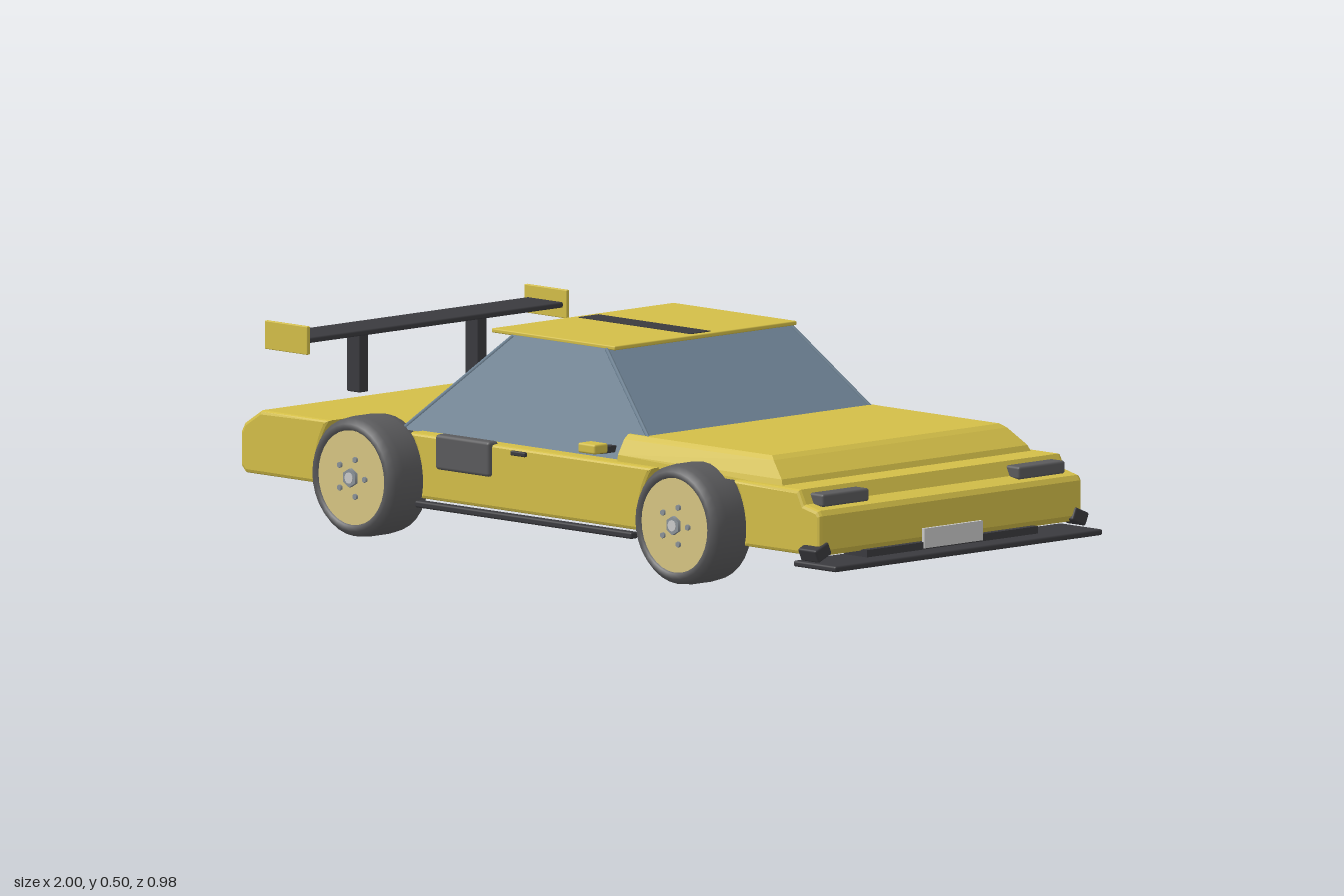
import * as THREE from 'three';
import { RoundedBoxGeometry } from 'three/addons/geometries/RoundedBoxGeometry.js';
import { ConvexGeometry } from 'three/addons/geometries/ConvexGeometry.js';

const paint = (name, color) => Object.assign(new THREE.MeshStandardMaterial({ color }), { name });
const V = (x, y, z) => new THREE.Vector3(x, y, z);

export function createModel() {
  const yellow = paint('body yellow', 0xd3be48);
  const rimGold = paint('rim pale gold', 0xd6c582);
  const glass = paint('window blue grey', 0x6f8496);
  const black = paint('trim black', 0x3a3a3e);
  const tyreGrey = paint('tyre grey', 0x5a5a5c);
  const red = paint('tail light red', 0xd08478);
  const silver = paint('plate silver', 0xcacaca);
  const steel = paint('hub steel', 0x8b9298);

  const car = new THREE.Group();
  car.name = 'car';
  const add = (name, geo, mat, parent = car) => {
    const m = new THREE.Mesh(geo, mat);
    m.name = name;
    parent.add(m);
    return m;
  };
  // Box given by its lower and upper corner
  const box = (name, mat, [x0, y0, z0], [x1, y1, z1], round = 0) => {
    const s = [x1 - x0, y1 - y0, z1 - z0];
    const m = add(name, round ? new RoundedBoxGeometry(...s, 2, round) : new THREE.BoxGeometry(...s), mat);
    m.position.set((x0 + x1) / 2, (y0 + y1) / 2, (z0 + z1) / 2);
    return m;
  };
  // Same box on both sides of the car
  const pair = (name, mat, [x0, y0, z0], [x1, y1, z1], round) => [
    box(name + 'Left', mat, [x0, y0, z0], [x1, y1, z1], round),
    box(name + 'Right', mat, [x0, y0, -z1], [x1, y1, -z0], round)];

  // Body: full-length core plus outer side pieces separated by open wheel arches
  const BOT = 0.105, TOP = 0.255, AXLE = 0.145, ARCH = 0.172;
  const WHEELS = { rear: -0.545, front: 0.52 };
  const nose = [[0.87, TOP], [0.887, 0.222], [0.932, 0.212], [0.94, 0.2], [0.94, 0.12], [0.925, BOT]];
  const tail = [[-0.955, BOT], [-0.97, 0.12], [-0.97, 0.2], [-0.958, 0.222], [-0.905, TOP]];
  const arch = (cx, side) => { // arch edge from top to bottom
    const a0 = Math.asin((TOP - AXLE) / ARCH), a1 = Math.asin((BOT - AXLE) / ARCH);
    return Array.from({ length: 9 }, (_, i) => {
      const a = a0 + (a1 - a0) * i / 8;
      return [cx + side * ARCH * Math.cos(a), AXLE + ARCH * Math.sin(a)];
    });
  };
  const slab = (pts, z0, z1, bevel) => {
    const shape = new THREE.Shape(pts.map(p => new THREE.Vector2(...p)));
    const g = new THREE.ExtrudeGeometry(shape, {
      depth: z1 - z0 - 2 * bevel, bevelEnabled: bevel > 0, bevelSize: bevel,
      bevelThickness: bevel, bevelOffset: -bevel, bevelSegments: 2 });
    return g.translate(0, 0, z0 + bevel);
  };
  add('bodyCore', slab([...tail, ...nose], -0.33, 0.33, 0), yellow);
  const up = pts => [...pts].reverse();
  const pieces = {
    rearQuarter: [...tail, ...arch(WHEELS.rear, -1)],
    door: [...up(arch(WHEELS.rear, 1)), ...arch(WHEELS.front, -1)],
    frontQuarter: [...up(arch(WHEELS.front, 1)), ...nose],
  };
  for (const [name, pts] of Object.entries(pieces)) {
    add(name + 'Left', slab(pts, 0.312, 0.422, 0.009), yellow);
    add(name + 'Right', slab(pts, -0.422, -0.312, 0.009), yellow);
  }

  // Raised hood, cabin glass and roof
  const hull = (name, mat, rings) => add(name, new ConvexGeometry(rings.flatMap(([x, y, z]) =>
    [V(x, y, z), V(x, y, -z)])), mat);
  hull('hood', yellow, [[0.25, 0.252, 0.4], [0.795, 0.252, 0.4], [0.25, 0.27, 0.398], [0.787, 0.268, 0.395],
    [0.25, 0.304, 0.378], [0.25, 0.315, 0.365], [0.725, 0.315, 0.365], [0.74, 0.306, 0.375]]);
  hull('cabinGlass', glass, [[-0.48, 0.252, 0.38], [0.375, 0.252, 0.38], [-0.2, 0.491, 0.295], [0.105, 0.491, 0.295]]);
  box('roof', yellow, [-0.275, 0.489, -0.293], [0.132, 0.499, 0.293], 0.003);
  box('roofStripe', black, [-0.255, 0.498, -0.032], [0.115, 0.5005, 0.032]);

  // Glass corner pillars
  for (const s of [1, -1]) for (const [a, b] of [[-0.48, -0.2], [0.375, 0.105]]) {
    const path = new THREE.LineCurve3(V(a, 0.252, 0.378 * s), V(b, 0.49, 0.293 * s));
    add('windowPillar', new THREE.TubeGeometry(path, 1, 0.005, 6), glass);
  }

  // Wheels
  const tyreProfile = [[0.1, -0.066], [0.125, -0.066], [0.137, -0.052], [0.14, -0.03],
    [0.14, 0.03], [0.137, 0.052], [0.125, 0.066], [0.112, 0.066], [0.108, 0.055]];
  const wheel = (name, x, side) => {
    const w = new THREE.Group();
    w.name = name;
    const disc = (part, r, len, y, mat, px = 0, pz = 0, n = 32) =>
      add(part, new THREE.CylinderGeometry(r, r, len, n), mat, w).position.set(px, y, pz);
    add('tyre', new THREE.LatheGeometry(tyreProfile.map(p => new THREE.Vector2(...p)), 32), tyreGrey, w);
    disc('rim', 0.11, 0.122, 0, rimGold);
    disc('hub', 0.022, 0.016, 0.062, steel, 0, 0, 6);
    disc('hubCap', 0.013, 0.012, 0.066, silver, 0, 0, 12);
    for (let i = 0; i < 5; i++) {
      const a = i * Math.PI * 2 / 5;
      disc('lugNut', 0.007, 0.01, 0.062, steel, 0.045 * Math.cos(a), 0.045 * Math.sin(a), 6);
    }
    w.position.set(x, 0.142, side * 0.417);
    w.rotation.x = side * Math.PI / 2;
    car.add(w);
  };
  for (const [end, x] of Object.entries(WHEELS)) {
    wheel(end + 'WheelLeft', x, 1);
    wheel(end + 'WheelRight', x, -1);
  }

  // Nose: headlights, splitter, lip, canards, number plate
  pair('headlight', tyreGrey, [0.872, 0.216, 0.24], [0.918, 0.246, 0.39], 0.006);
  box('frontSplitter', black, [0.86, 0.077, -0.43], [1, 0.091, 0.43], 0.005);
  box('frontLip', black, [0.87, 0.088, -0.275], [0.945, 0.108, 0.275]);
  pair('canard', black, [0.885, 0.1, 0.39], [0.945, 0.132, 0.437], 0.005)
    .forEach((m, i) => { m.rotation.x = i ? -0.4 : 0.4; });
  box('frontPlate', silver, [0.94, 0.094, -0.094], [0.949, 0.14, 0.094]);

  // Tail: light strip, plate, diffuser with fins, exhausts
  const strip = box('tailLight', red, [-0.953, 0.23, -0.375], [-0.907, 0.246, 0.375]);
  strip.rotation.z = 0.35;
  box('rearPlate', tyreGrey, [-0.976, 0.155, -0.08], [-0.968, 0.2, 0.08]);
  box('rearDiffuser', black, [-0.985, 0.088, -0.28], [-0.9, 0.118, 0.28]);
  for (const z of [-0.18, -0.06, 0.06, 0.18])
    box('diffuserFin', black, [-1, 0.082, z - 0.006], [-0.91, 0.112, z + 0.006]);
  for (const z of [-0.337, -0.297, 0.297, 0.337]) {
    const pipe = add('exhaust', new THREE.CylinderGeometry(0.017, 0.017, 0.07, 16), silver);
    pipe.rotation.z = Math.PI / 2;
    pipe.position.set(-0.963, 0.122, z);
    const bore = add('exhaustBore', new THREE.CircleGeometry(0.012, 16), black);
    bore.rotation.y = -Math.PI / 2;
    bore.position.set(-0.9985, 0.122, z);
  }

  // Rear wing
  box('wingBlade', black, [-0.88, 0.424, -0.415], [-0.762, 0.437, 0.415], 0.004);
  pair('wingEndPlate', yellow, [-0.89, 0.4, 0.412], [-0.75, 0.466, 0.422], 0.002);
  pair('wingPost', black, [-0.842, 0.285, 0.175], [-0.8, 0.428, 0.205], 0.003);

  // Sides: skirts, intakes, door handles, mirrors
  pair('sideSkirt', black, [-0.37, 0.088, 0.425], [0.345, 0.104, 0.448], 0.005);
  pair('sideIntake', tyreGrey, [-0.318, 0.18, 0.4], [-0.14, 0.262, 0.433], 0.008);
  pair('doorHandle', black, [-0.073, 0.238, 0.415], [-0.025, 0.249, 0.43], 0.003);
  pair('mirrorArm', black, [0.192, 0.27, 0.36], [0.216, 0.285, 0.42]);
  pair('mirror', yellow, [0.178, 0.274, 0.414], [0.235, 0.297, 0.458], 0.005);

  return car;
}
